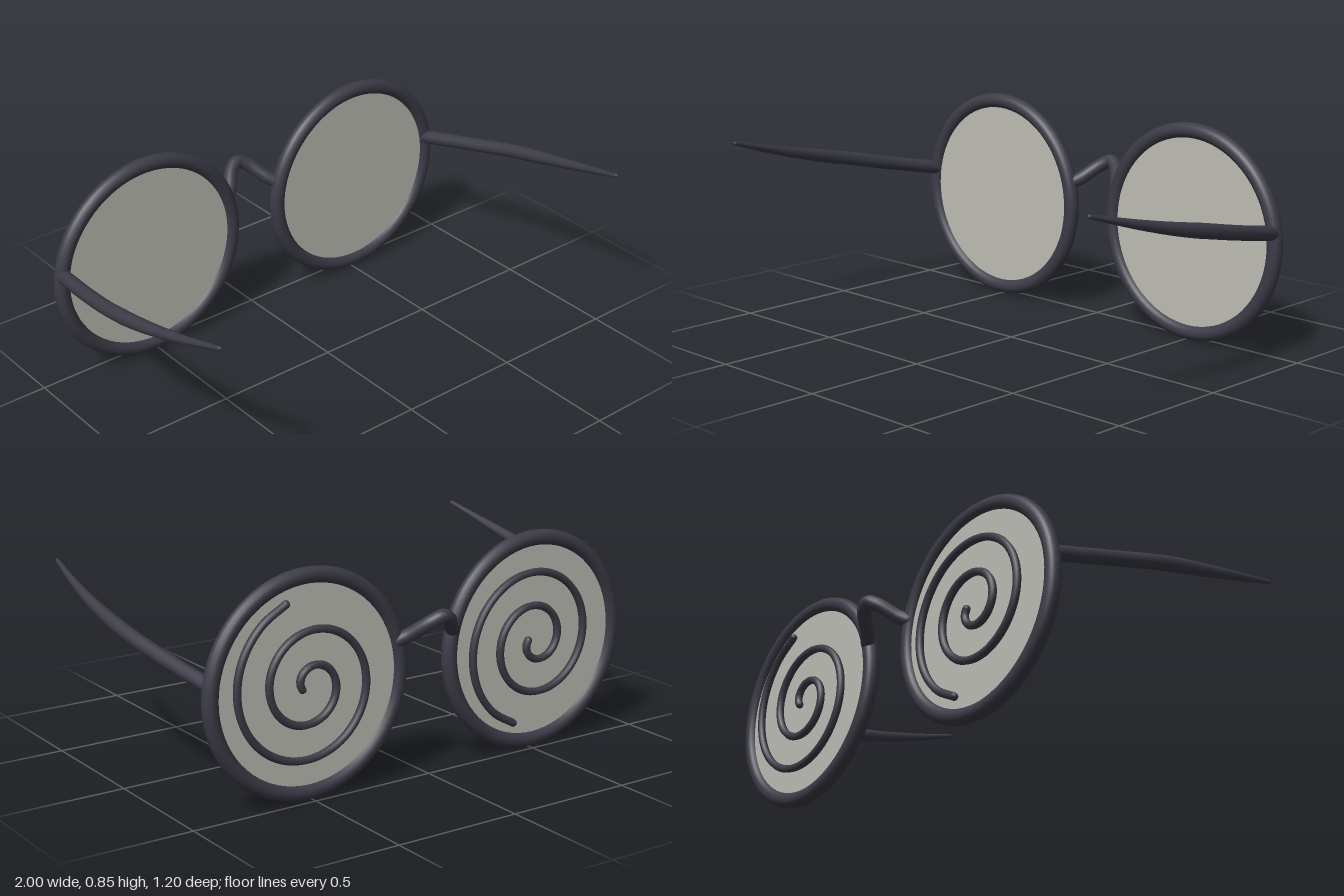
import * as THREE from 'three';

const frameMat = new THREE.MeshStandardMaterial({ color: 0x3c3b47 });
frameMat.name = 'dark frame';
const lensMat = new THREE.MeshStandardMaterial({ color: 0xbdbdb5 });
lensMat.name = 'grey lens';

const RING_X = 0.51, RING_Y = 0.428, RING_Z = -0.465;

function mesh(name, geometry, material, parent) {
  const m = new THREE.Mesh(geometry, material);
  m.name = name;
  parent.add(m);
  return m;
}

// Round rod along a curve, with a radius that varies along it and rounded ends
function rod(name, curve, segments, sides, radiusAt, parent) {
  const geo = new THREE.TubeGeometry(curve, segments, 1, sides, false);
  const pos = geo.attributes.position, v = new THREE.Vector3();
  for (let i = 0; i <= segments; i++) {
    const t = i / segments, c = curve.getPointAt(t), r = radiusAt(t);
    for (let j = 0; j <= sides; j++) {
      const k = i * (sides + 1) + j;
      v.fromBufferAttribute(pos, k).sub(c).multiplyScalar(r).add(c);
      pos.setXYZ(k, v.x, v.y, v.z);
    }
  }
  const group = new THREE.Group();
  group.name = name;
  mesh(name + 'Body', geo, frameMat, group);
  for (const t of [0, 1]) {
    const cap = mesh(name + 'End', new THREE.SphereGeometry(radiusAt(t), sides, 8), frameMat, group);
    cap.position.copy(curve.getPointAt(t));
  }
  parent.add(group);
}

// Spiral lying on the back of a lens; flip turns it upside down
function spiralCurve(flip) {
  const pts = [];
  for (let a = -10; a <= 792; a += 20.05) {
    const angle = THREE.MathUtils.degToRad(180 - a);
    const r = 0.04 + 0.13 * a / 360;
    pts.push(new THREE.Vector3(-r * Math.cos(angle), flip * r * Math.sin(angle), -0.023));
  }
  return new THREE.CatmullRomCurve3(pts);
}

export function createModel() {
  const model = new THREE.Group();
  model.name = 'spectacles';

  for (const side of [1, -1]) {
    const label = side > 0 ? 'left' : 'right';

    // Rim, lens and spiral
    const eye = new THREE.Group();
    eye.name = label + 'Eyepiece';
    eye.position.set(side * RING_X, RING_Y, RING_Z);
    model.add(eye);
    mesh(label + 'Rim', new THREE.TorusGeometry(0.395, 0.03, 14, 72), frameMat, eye);
    const lens = mesh(label + 'Lens', new THREE.CylinderGeometry(0.385, 0.385, 0.02, 64), lensMat, eye);
    lens.rotation.x = Math.PI / 2;
    rod(label + 'Spiral', spiralCurve(side), 160, 8, () => 0.015, eye);

    // Bowed temple arm, tapering to the tip
    const arm = new THREE.CatmullRomCurve3([
      [0.9, 0.488, -0.46], [0.944, 0.54, -0.2], [0.969, 0.583, 0],
      [0.972, 0.625, 0.2], [0.961, 0.673, 0.4], [0.94, 0.725, 0.592],
    ].map(([x, y, z]) => new THREE.Vector3(side * x, y, z)));
    rod(label + 'Temple', arm, 40, 12,
      t => t < 0.5 ? 0.028 : 0.028 - 0.02 * Math.pow((t - 0.5) / 0.5, 1.2), model);
  }

  // Arched nose bridge
  const bridge = new THREE.CatmullRomCurve3([
    [-0.125, 0.53, -0.475], [-0.095, 0.55, -0.5], [-0.04, 0.603, -0.558], [0, 0.622, -0.574],
    [0.04, 0.603, -0.558], [0.095, 0.55, -0.5], [0.125, 0.53, -0.475],
  ].map(p => new THREE.Vector3(...p)));
  rod('bridge', bridge, 40, 12, () => 0.027, model);

  return model;
}
